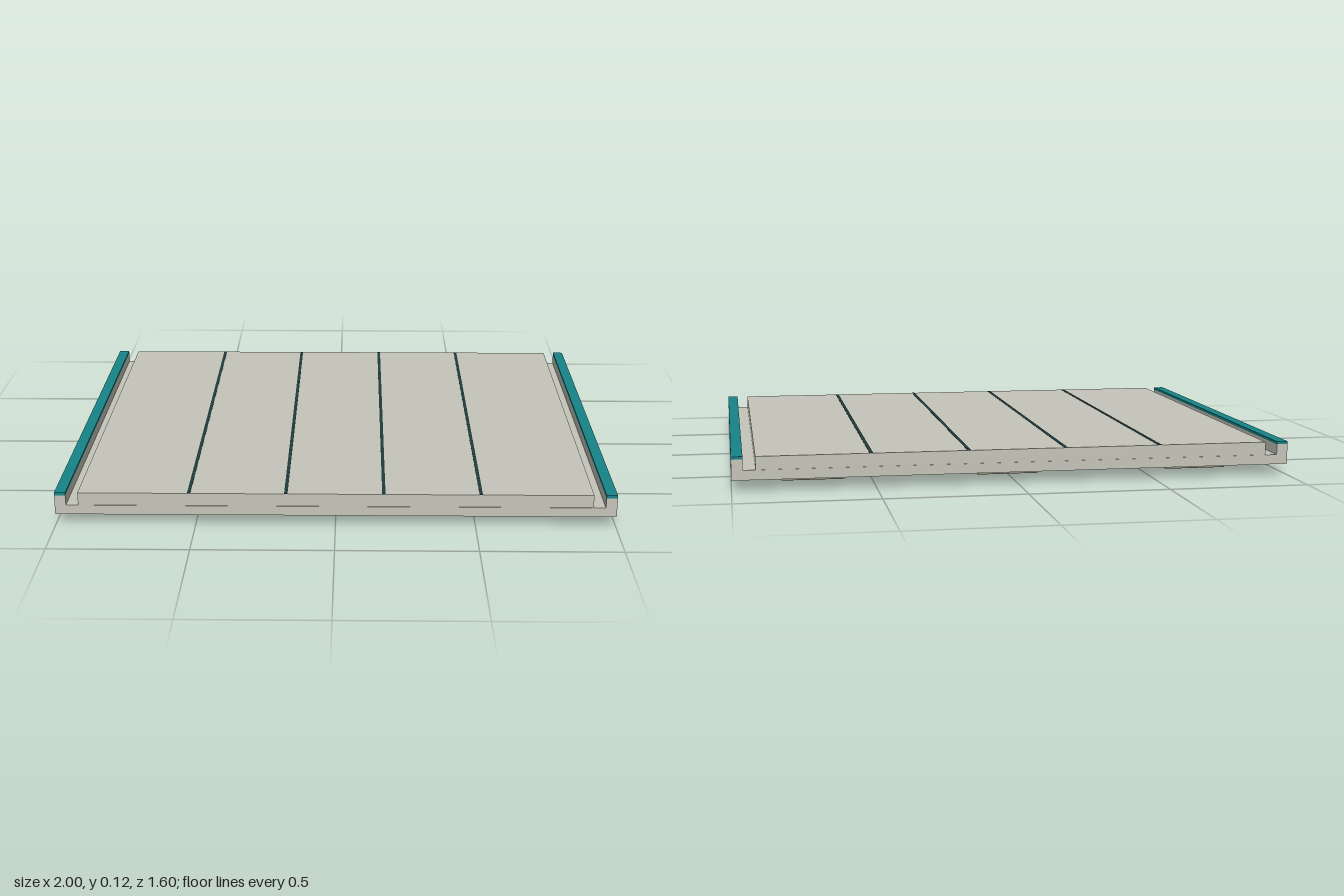
import * as THREE from 'three';

const mat = (color) => new THREE.MeshStandardMaterial({ color });

export function createModel() {
  const group = new THREE.Group();
  const shell = mat(0xc5c5ba), tan = mat(0xb5ab98), teal = mat(0x168488), dark = mat(0x1f3a3c);

  // Box given by its x, y and z ranges
  const box = (name, x0, x1, y0, y1, z0, z1, material) => {
    const mesh = new THREE.Mesh(new THREE.BoxGeometry(x1 - x0, y1 - y0, z1 - z0), material);
    mesh.position.set((x0 + x1) / 2, (y0 + y1) / 2, (z0 + z1) / 2);
    mesh.name = name;
    group.add(mesh);
  };

  // Base plate and raised deck
  box('basePlate', -1, 1, 0.04, 0.075, -0.798, 0.798, shell);
  box('deck', -0.917, 0.917, 0.075, 0.122, -0.796, 0.796, shell);

  // Dark seams dividing the deck
  for (const x of [-0.521, -0.176, 0.172, 0.517]) {
    box('deckSeam', x - 0.006, x + 0.006, 0.119, 0.123, -0.795, 0.795, dark);
  }

  // Side rails with coloured caps
  for (const s of [-1, 1]) {
    const [a, b] = s > 0 ? [0.96, 1] : [-1, -0.96];
    const side = s > 0 ? 'left' : 'right';
    box(side + 'Rail', a, b, 0.075, 0.113, -0.798, 0.798, shell);
    box(side + 'RailCap', a, b, 0.113, 0.123, -0.798, 0.798, teal);
  }

  // Foot profile in the z-y plane, rounded along its long edges
  const w = 0.0875, h = 0.027, r = 0.008;
  const profile = new THREE.Shape();
  profile.moveTo(-w + r, 0);
  profile.lineTo(w - r, 0);
  profile.quadraticCurveTo(w, 0, w, r);
  profile.lineTo(w, h - r);
  profile.quadraticCurveTo(w, h, w - r, h);
  profile.lineTo(-w + r, h);
  profile.quadraticCurveTo(-w, h, -w, h - r);
  profile.lineTo(-w, r);
  profile.quadraticCurveTo(-w, 0, -w + r, 0);
  const footGeometry = new THREE.ExtrudeGeometry(profile, { depth: 0.224, bevelEnabled: false, curveSegments: 4 });
  footGeometry.translate(0, 0, -0.112).rotateY(Math.PI / 2);

  // Runners under the plate, each with three feet
  for (const z of [-0.53, 0.53]) {
    box('runner', -0.87, 0.87, 0.025, 0.04, z - 0.066, z + 0.066, tan);
    for (const x of [-0.71, 0, 0.71]) {
      const foot = new THREE.Mesh(footGeometry, tan);
      foot.name = 'foot';
      foot.position.set(x, 0, z);
      group.add(foot);
    }
  }
  return group;
}
